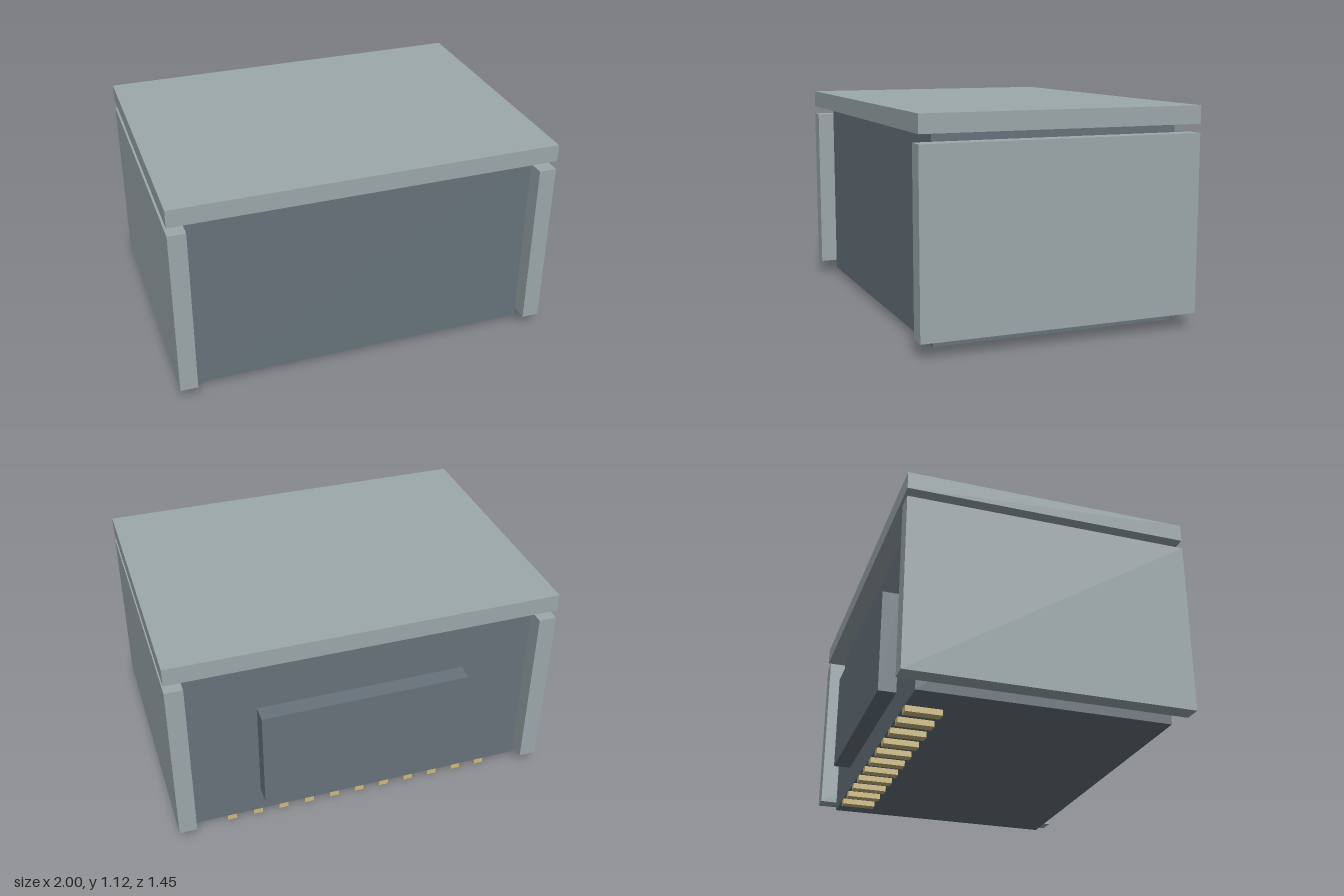
import * as THREE from 'three';

export function createModel() {
  const model = new THREE.Group();
  model.name = 'connectorBlock';

  const material = (name, color) => {
    const m = new THREE.MeshStandardMaterial({ color });
    m.name = name;
    return m;
  };
  const paleGrey = material('pale grey', 0x9ca8ab);
  const slate = material('slate', 0x67727b);
  const brass = material('brass', 0xcbb97c);

  // Box given by its min and max corners
  const addBox = (name, mat, [x0, y0, z0], [x1, y1, z1]) => {
    const mesh = new THREE.Mesh(new THREE.BoxGeometry(x1 - x0, y1 - y0, z1 - z0), mat);
    mesh.position.set((x0 + x1) / 2, (y0 + y1) / 2, (z0 + z1) / 2);
    mesh.name = name;
    model.add(mesh);
  };

  // Core body
  addBox('body', slate, [-0.909, 0.03, -0.636], [0.909, 1.03, 0.636]);

  // Raised block on the back
  addBox('backBlock', slate, [-0.546, 0.17, -0.727], [0.546, 0.713, -0.636]);

  // Lid and side panels
  addBox('lid', paleGrey, [-1, 1.03, -0.727], [1, 1.121, 0.727]);
  addBox('leftPanel', paleGrey, [0.909, 0.077, -0.727], [1, 0.985, 0.727]);
  addBox('rightPanel', paleGrey, [-1, 0.077, -0.727], [-0.909, 0.985, 0.727]);

  // Row of contact pins under the back edge
  const pins = 11, pitch = 0.141, half = 0.025;
  for (let i = 0; i < pins; i++) {
    const x = (i - (pins - 1) / 2) * pitch;
    addBox(`pin${i + 1}`, brass, [x - half, 0, -0.636], [x + half, 0.03, -0.455]);
  }

  return model;
}
